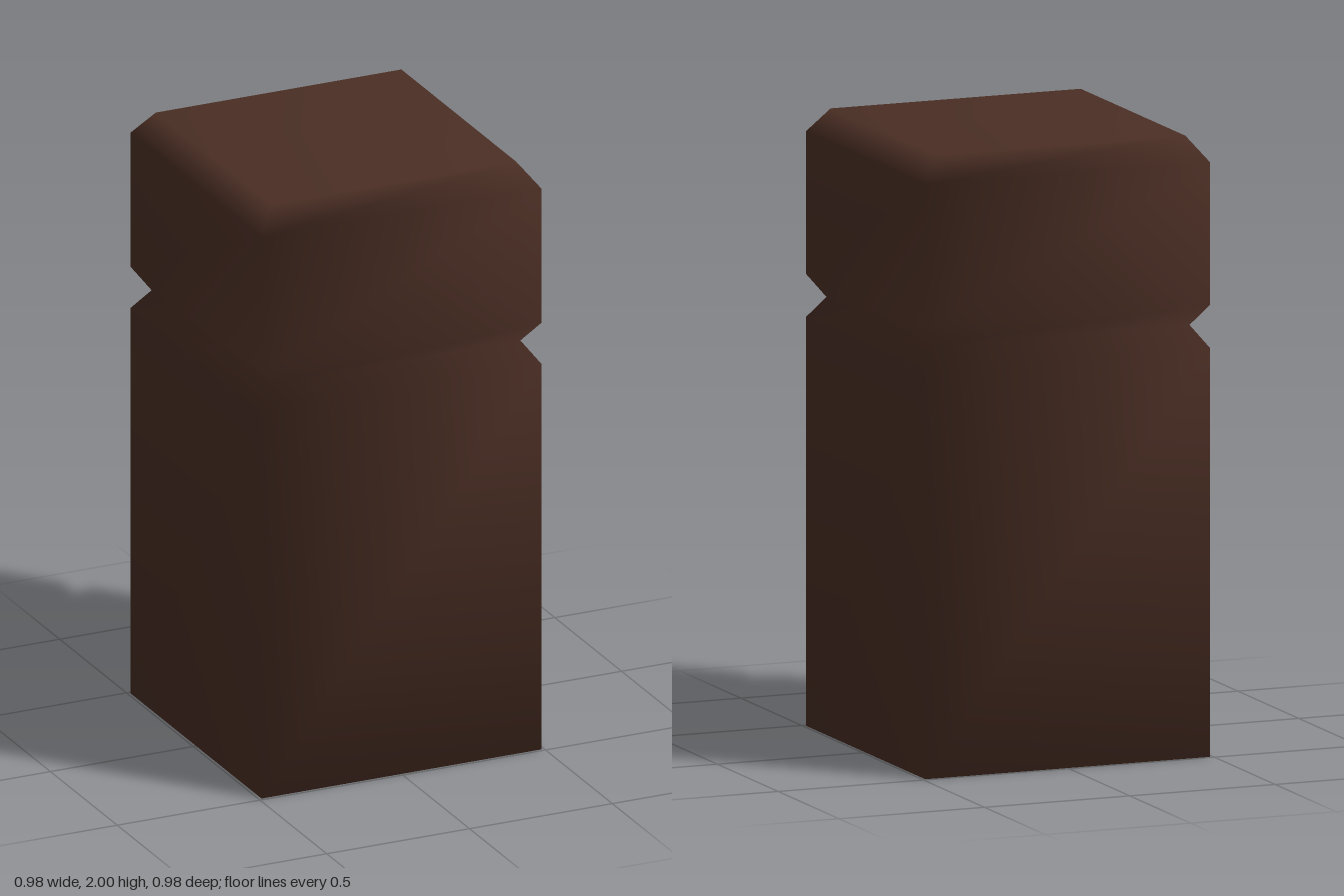
import * as THREE from 'three';

const darkBrown = new THREE.MeshStandardMaterial({ color: 0x4a2e24 });
darkBrown.name = 'dark brown';

// Square cross-sections from bottom to top: [height, half width]
const sections = [
  [0, 0.49],
  [1.32, 0.49],
  [1.39, 0.44], // groove
  [1.46, 0.49],
  [1.92, 0.49],
  [2, 0.43], // bevelled top
];
const corners = [[1, 1], [1, -1], [-1, -1], [-1, 1]];

// Lofts the square sections into one closed, smoothly shaded block
function squareLoft(rings) {
  const positions = [];
  const indices = [];
  for (const [y, half] of rings) {
    for (const [x, z] of corners) positions.push(x * half, y, z * half);
  }
  for (let r = 0; r < rings.length - 1; r++) {
    for (let i = 0; i < 4; i++) {
      const a = r * 4 + i;
      const b = r * 4 + ((i + 1) % 4);
      indices.push(a, b, b + 4, a, b + 4, a + 4);
    }
  }
  // Bottom and top caps
  const t = (rings.length - 1) * 4;
  indices.push(0, 2, 1, 0, 3, 2);
  indices.push(t, t + 1, t + 2, t, t + 2, t + 3);

  const geometry = new THREE.BufferGeometry();
  geometry.setAttribute('position', new THREE.Float32BufferAttribute(positions, 3));
  geometry.setIndex(indices);
  geometry.computeVertexNormals();
  return geometry;
}

export function createModel() {
  const group = new THREE.Group();
  group.name = 'groovedPost';
  const post = new THREE.Mesh(squareLoft(sections), darkBrown);
  post.name = 'postBody';
  group.add(post);
  return group;
}
